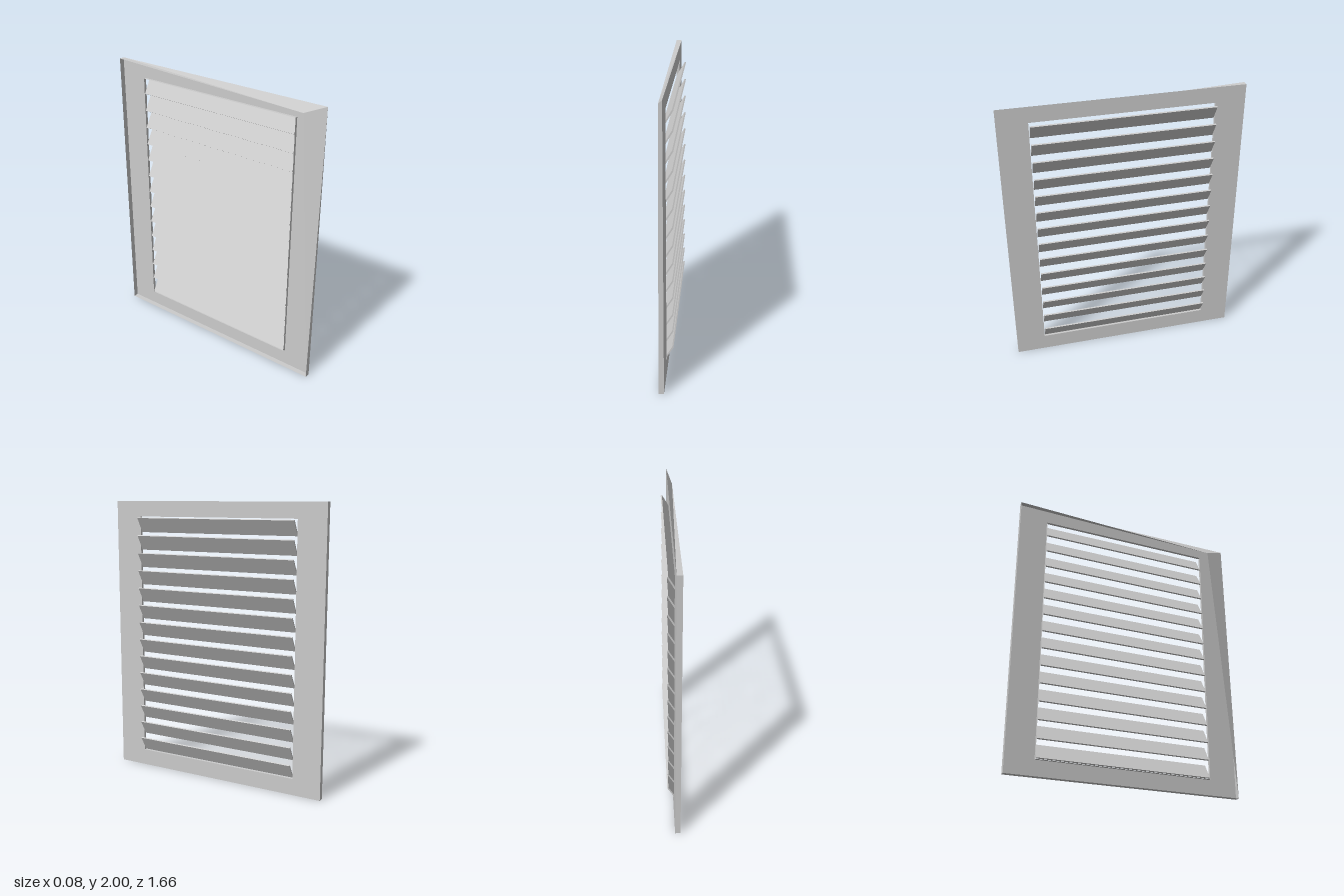
import * as THREE from 'three';

const HALF_W = 0.828, HEIGHT = 2;
const FACE_X = -0.005, BACK_X = -0.042;
const HOLE = { z: 0.622, y0: 0.118, y1: 1.89 };
const LIP_X = -0.024;

const mat = new THREE.MeshStandardMaterial({
  color: 0xcccccc, side: THREE.DoubleSide, flatShading: true,
});

function add(group, name, geometry) {
  const mesh = new THREE.Mesh(geometry, mat);
  mesh.name = name;
  group.add(mesh);
  return mesh;
}

// Four walls joining two rings of four corners
function ringWalls(front, back) {
  const pos = [];
  for (let i = 0; i < 4; i++) {
    const j = (i + 1) % 4;
    pos.push(...front[i], ...front[j], ...back[j]);
    pos.push(...front[i], ...back[j], ...back[i]);
  }
  const g = new THREE.BufferGeometry();
  g.setAttribute('position', new THREE.Float32BufferAttribute(pos, 3));
  g.computeVertexNormals();
  return g;
}

// Rectangle corners at a given x, running bottom back, top back, top front, bottom front
const corners = (x, z, y0, y1) => [[x, y0, -z], [x, y1, -z], [x, y1, z], [x, y0, z]];

export function createModel() {
  const model = new THREE.Group();
  model.name = 'louvreVent';

  // Flat face plate with a rectangular opening
  const outline = (z, y0, y1) =>
    [[-z, y0], [z, y0], [z, y1], [-z, y1]].map(([a, b]) => new THREE.Vector2(a, b));
  const shape = new THREE.Shape(outline(HALF_W, 0, HEIGHT));
  shape.holes.push(new THREE.Path(outline(HOLE.z, HOLE.y0, HOLE.y1).reverse()));
  const plate = new THREE.ShapeGeometry(shape);
  plate.rotateY(Math.PI / 2).translate(FACE_X, 0, 0);
  add(model, 'facePlate', plate);

  // Outer rim folded back, with one upper corner bent inward
  const rimBack = corners(BACK_X, HALF_W, 0, HEIGHT);
  rimBack[2] = [BACK_X, 1.94, 0.685];
  add(model, 'outerRim', ringWalls(corners(FACE_X, HALF_W, 0, HEIGHT), rimBack));

  // Short lip lining the opening
  add(model, 'openingLip', ringWalls(
    corners(FACE_X, HOLE.z, HOLE.y0, HOLE.y1),
    corners(LIP_X, HOLE.z, HOLE.y0, HOLE.y1)));

  // Tilted slats, upper edge outward
  const slats = new THREE.Group();
  slats.name = 'slats';
  model.add(slats);
  const slatGeometry = new THREE.BoxGeometry(0.01, 0.118, 1.236);
  for (let i = 0; i < 14; i++) {
    const slat = add(slats, 'slat', slatGeometry);
    slat.position.set(0.008, 0.176 + i * 0.1273, 0);
    slat.rotation.z = -Math.PI / 6;
  }
  return model;
}
